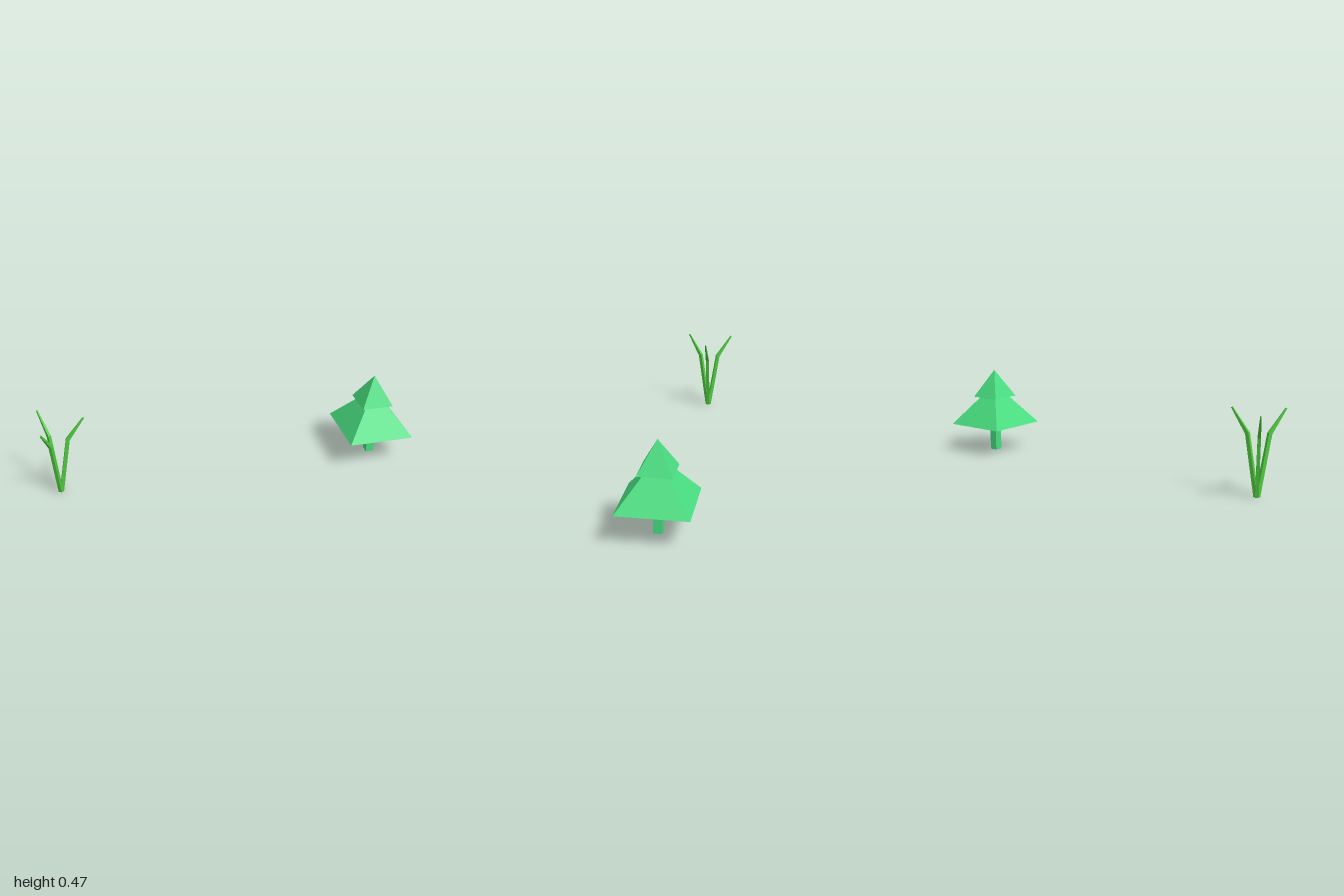
import * as THREE from 'three';
import { mergeVertices } from 'three/addons/utils/BufferGeometryUtils.js';

const treeMat = new THREE.MeshStandardMaterial({ color: 0x48dd80, flatShading: true });
const grassMat = new THREE.MeshStandardMaterial({ color: 0x50c840, flatShading: true });

// Square pyramid with its base at height y
function pyramid(name, half, height, y) {
  const geo = new THREE.ConeGeometry(half * Math.SQRT2, height, 4, 1).rotateY(Math.PI / 4);
  const mesh = new THREE.Mesh(mergeVertices(geo), treeMat);
  mesh.name = name;
  mesh.position.y = y + height / 2;
  return mesh;
}

// Bent, tapering blade leaning toward +x, built from four-cornered cross-sections
function bladeGeometry() {
  const sections = [ // radius, height, tilt, half thickness, half width
    [0.004, 0, 0, 0.01, 0.009],
    [0.062, 0.315, 0.416, 0.01, 0.008],
    [0.152, 0.434, 0.647, 0.004, 0.003],
  ];
  const corners = [[1, 1], [1, -1], [-1, -1], [-1, 1]];
  const pos = [], index = [];
  for (const [r, y, tilt, a, b] of sections)
    for (const [s, t] of corners)
      pos.push(r + s * a * Math.cos(tilt), y - s * a * Math.sin(tilt), t * b);
  const quad = (a, b, c, d) => index.push(a, b, c, a, c, d);
  for (let i = 0; i < 2; i++)
    for (let j = 0; j < 4; j++) {
      const k = (j + 1) % 4;
      quad(i * 4 + j, i * 4 + k, i * 4 + 4 + k, i * 4 + 4 + j);
    }
  quad(8, 9, 10, 11);
  quad(3, 2, 1, 0);
  const geo = new THREE.BufferGeometry();
  geo.setAttribute('position', new THREE.Float32BufferAttribute(pos, 3));
  geo.setIndex(index);
  const flat = geo.toNonIndexed();
  flat.computeVertexNormals();
  return flat;
}

export function createModel() {
  const model = new THREE.Group();

  // Tree: square trunk and two stacked pyramids
  const tree = new THREE.Group();
  tree.name = 'tree';
  tree.position.x = 0.822;
  const trunk = new THREE.Mesh(new THREE.BoxGeometry(0.044, 0.157, 0.044), treeMat);
  trunk.name = 'trunk';
  trunk.position.y = 0.0785;
  tree.add(trunk, pyramid('lowerFoliage', 0.178, 0.234, 0.157), pyramid('upperFoliage', 0.086, 0.157, 0.317));

  // Grass tuft: three blades spread evenly
  const grass = new THREE.Group();
  grass.name = 'grassTuft';
  grass.position.x = -0.921;
  const geo = bladeGeometry();
  for (let i = 0; i < 3; i++) {
    const blade = new THREE.Mesh(geo, grassMat);
    blade.name = 'grassBlade' + (i + 1);
    blade.rotation.y = (i * Math.PI * 2) / 3;
    grass.add(blade);
  }

  model.add(tree, grass);
  return model;
}
